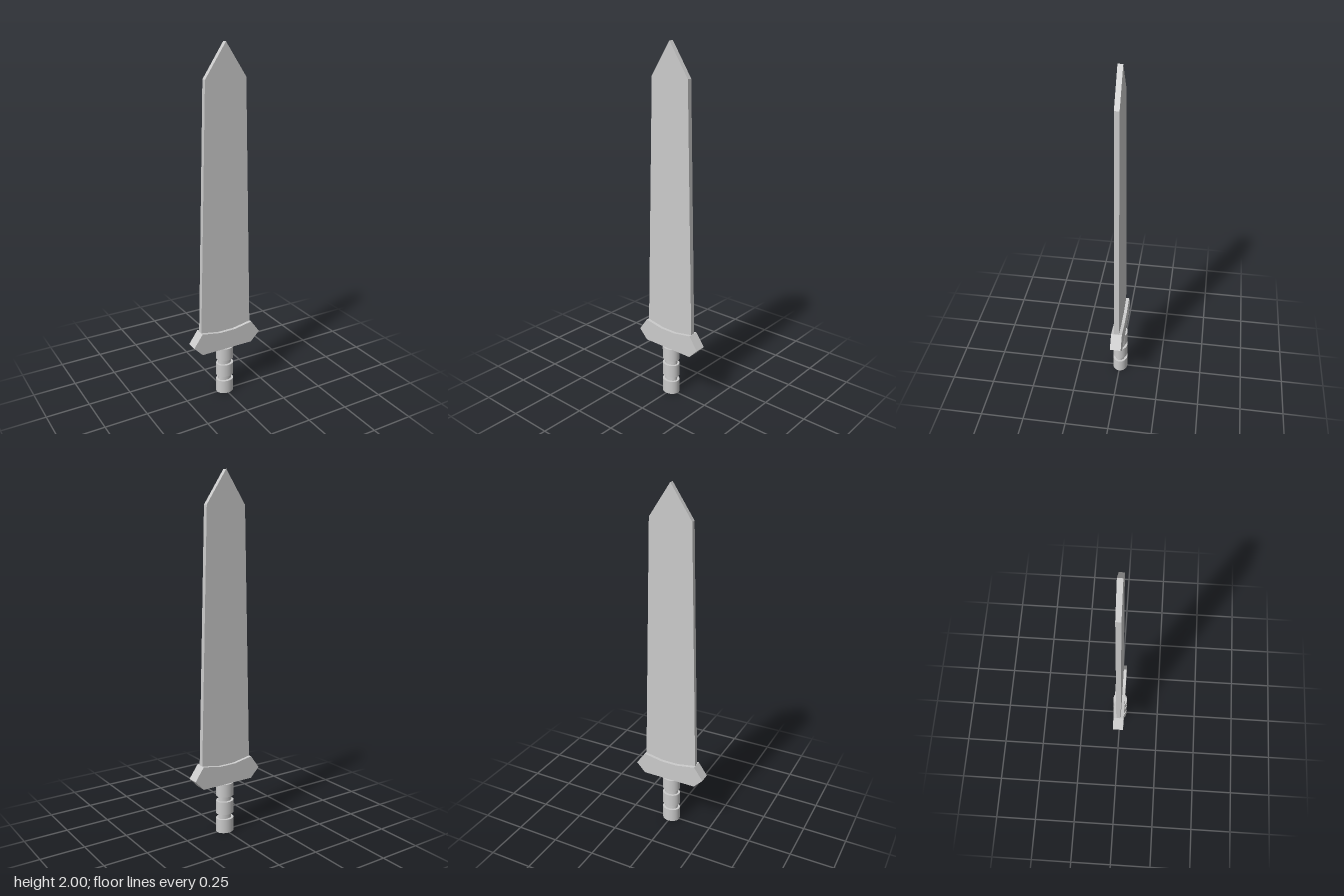
import * as THREE from 'three';

const steel = new THREE.MeshStandardMaterial({ color: 0xcccccc, side: THREE.DoubleSide });
const Z = -0.0015; // shared mid-plane of all parts

// Flat plate cut from an outline, centred on the mid-plane
function plate(name, points, depth) {
  const shape = new THREE.Shape(points.map(([x, y]) => new THREE.Vector2(x, y)));
  const geometry = new THREE.ExtrudeGeometry(shape, { depth, bevelEnabled: false });
  geometry.translate(0, 0, Z - depth / 2);
  const mesh = new THREE.Mesh(geometry, steel);
  mesh.name = name;
  return mesh;
}

// Oval section of the grip between two heights
function gripSection(name, y0, y1, rx, rz) {
  const geometry = new THREE.CylinderGeometry(1, 1, y1 - y0, 32);
  geometry.scale(rx, 1, rz);
  geometry.translate(0, (y0 + y1) / 2, Z);
  const mesh = new THREE.Mesh(geometry, steel);
  mesh.name = name;
  return mesh;
}

export function createModel() {
  const model = new THREE.Group();
  model.name = 'sword';

  // Tapered blade and pointed tip
  model.add(plate('blade', [
    [-0.158, 0.418], [-0.05, 0.395], [0.05, 0.395], [0.158, 0.418],
    [0.12, 1.82], [-0.12, 1.82],
  ], 0.027));
  model.add(plate('bladeTip', [[-0.12, 1.82], [0.12, 1.82], [0, 2]], 0.027));

  // Guard with pointed ends and a shallow dip on top
  model.add(plate('guard', [
    [-0.16, 0.29], [0.16, 0.29], [0.213, 0.345], [0.16, 0.42],
    [0.048, 0.4], [-0.048, 0.4], [-0.16, 0.42], [-0.213, 0.345],
  ], 0.063));

  // Grip: three thick bands joined by two narrow necks
  const grip = new THREE.Group();
  grip.name = 'grip';
  for (const [y0, y1] of [[0, 0.08], [0.11, 0.185], [0.215, 0.29]]) {
    grip.add(gripSection('gripBand', y0, y1, 0.052, 0.044));
  }
  for (const [y0, y1] of [[0.08, 0.11], [0.185, 0.215]]) {
    grip.add(gripSection('gripNeck', y0, y1, 0.04, 0.029));
  }
  model.add(grip);

  return model;
}
